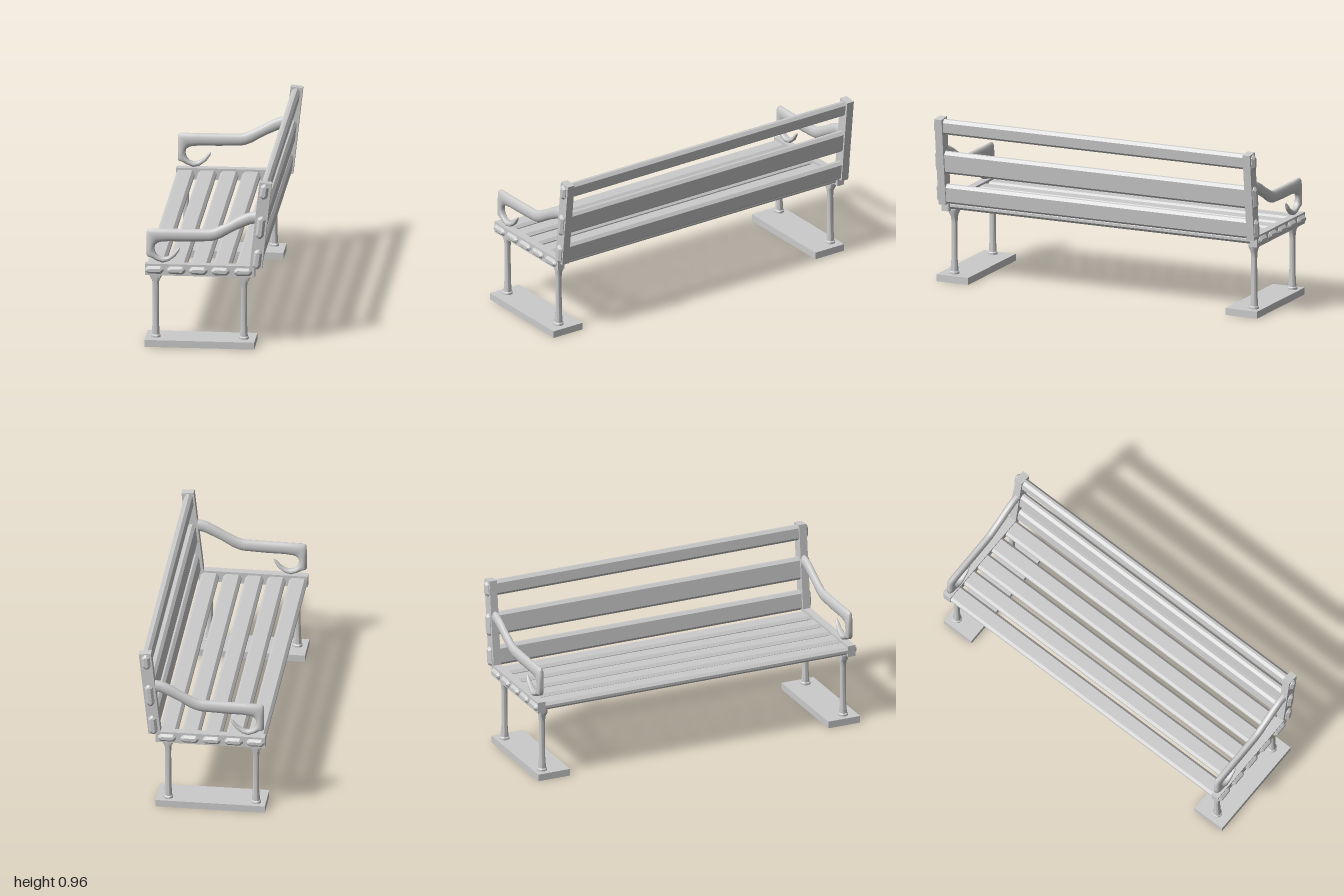
import * as THREE from 'three';
import { toCreasedNormals } from 'three/addons/utils/BufferGeometryUtils.js';

const material = new THREE.MeshStandardMaterial({ color: 0xcccccc });
const MID = -0.0075; // centre of the slats and frames along z

function add(parent, name, geometry, x = 0, y = 0, z = 0) {
  const mesh = new THREE.Mesh(geometry, material);
  mesh.name = name;
  mesh.position.set(x, y, z);
  parent.add(mesh);
  return mesh;
}

// Long plank with chamfered edges and bevelled ends
function slatGeometry(w, h) {
  const length = 1.987, bevel = 0.013, c = 0.008;
  const a = w / 2 - bevel, b = h / 2 - bevel;
  const k = Math.min(c, b * 0.8);
  const shape = new THREE.Shape([
    [a - k, -b], [a, k - b], [a, b - k], [a - k, b],
    [k - a, b], [-a, b - k], [-a, k - b], [k - a, -b],
  ].map(([x, y]) => new THREE.Vector2(x, y)));
  const g = new THREE.ExtrudeGeometry(shape, {
    depth: length - 2 * bevel, bevelEnabled: true, bevelSegments: 1,
    bevelSize: bevel, bevelThickness: bevel,
  });
  return g.translate(0, 0, bevel - length / 2);
}

// Turned leg whose top flares only across the seat rail
function legGeometry() {
  const profile = [
    [0, 0.035], [0.028, 0.035], [0.028, 0.05], [0.022, 0.056], [0.021, 0.085],
    [0.018, 0.12], [0.017, 0.33], [0.02, 0.365], [0.036, 0.395], [0.037, 0.415], [0, 0.415],
  ].map(([r, y]) => new THREE.Vector2(r, y));
  const g = new THREE.LatheGeometry(profile, 20);
  const p = g.attributes.position;
  for (let i = 0; i < p.count; i++) {
    if (p.getY(i) > 0.34) p.setZ(i, THREE.MathUtils.clamp(p.getZ(i), -0.02, 0.02));
  }
  return toCreasedNormals(g, 0.7);
}

// Armrest: oval sections spanning between an outer and an inner outline
function armGeometry() {
  // outer x, outer y, inner x, inner y
  const sections = [
    [0.28, 0.787, 0.28, 0.72], [0.235, 0.784, 0.235, 0.714],
    [0.204, 0.773, 0.204, 0.70], [0.158, 0.75, 0.158, 0.679],
    [0.12, 0.727, 0.12, 0.659], [0.069, 0.702, 0.069, 0.628],
    [0.031, 0.684, 0.031, 0.613], [0.005, 0.678, 0.005, 0.608],
    [-0.12, 0.676, -0.12, 0.603], [-0.24, 0.675, -0.225, 0.602],
    [-0.335, 0.674, -0.27, 0.597], [-0.347, 0.664, -0.285, 0.592],
    [-0.348, 0.61, -0.3, 0.58], [-0.348, 0.56, -0.304, 0.56],
    [-0.348, 0.518, -0.301, 0.549], [-0.342, 0.511, -0.299, 0.541],
    [-0.322, 0.505, -0.296, 0.534], [-0.296, 0.49, -0.283, 0.518],
    [-0.26, 0.477, -0.258, 0.51], [-0.225, 0.485, -0.232, 0.513],
    [-0.186, 0.515, -0.199, 0.534], [-0.166, 0.546, -0.179, 0.557],
    [-0.16, 0.566, -0.163, 0.569],
  ];
  const sides = 16, positions = [], index = [];
  sections.forEach(([ox, oy, ix, iy], i) => {
    const half = Math.min(0.02, Math.hypot(ox - ix, oy - iy) * 0.6);
    for (let j = 0; j < sides; j++) {
      const t = (j / sides) * Math.PI * 2, c = Math.cos(t) / 2;
      positions.push((ox + ix) / 2 + (ox - ix) * c, (oy + iy) / 2 + (oy - iy) * c, half * Math.sin(t));
      if (i < sections.length - 1) {
        const a = i * sides + j, b = i * sides + (j + 1) % sides;
        index.push(a, a + sides, b, b, a + sides, b + sides);
      }
    }
  });
  // Close the curled tip
  const last = (sections.length - 1) * sides;
  for (let j = 1; j < sides - 1; j++) index.push(last, last + j + 1, last + j);
  const g = new THREE.BufferGeometry();
  g.setAttribute('position', new THREE.Float32BufferAttribute(positions, 3));
  g.setIndex(index);
  return toCreasedNormals(g, 0.9);
}

export function createModel() {
  const model = new THREE.Group();
  model.name = 'bench';

  // Seat slats
  const seat = slatGeometry(0.102, 0.044);
  for (const x of [-0.302, -0.18, -0.056, 0.068, 0.195]) add(model, 'seatSlat', seat, x, 0.441, MID);

  // Back slats, leaning with the posts
  const lean = -0.11;
  for (const [x, y, h] of [[0.313, 0.911, 0.088], [0.293, 0.702, 0.13], [0.275, 0.517, 0.113]]) {
    add(model, 'backSlat', slatGeometry(0.046, h), x, y, MID).rotation.z = lean;
  }

  // End frames: base plate, legs, seat rail, back post and armrest
  const leg = legGeometry(), arm = armGeometry();
  for (const side of [1, -1]) {
    const frame = new THREE.Group();
    frame.name = side > 0 ? 'leftFrame' : 'rightFrame';
    model.add(frame);
    add(frame, 'basePlate', new THREE.BoxGeometry(0.615, 0.04, 0.196), -0.0475, 0.02, 0.008 + side * 0.894);
    for (const x of [-0.299, 0.195]) add(frame, 'leg', leg, x, 0, MID + side * 0.9275);
    add(frame, 'seatRail', new THREE.BoxGeometry(0.615, 0.066, 0.045), -0.0475, 0.442, MID + side * 0.955);
    const post = add(frame, 'backPost', new THREE.BoxGeometry(0.069, 0.504, 0.045), 0.293, 0.71, MID + side * 0.954);
    post.rotation.z = lean;
    add(frame, 'armrest', arm, 0, 0, MID + side * 0.952);
  }
  return model;
}
